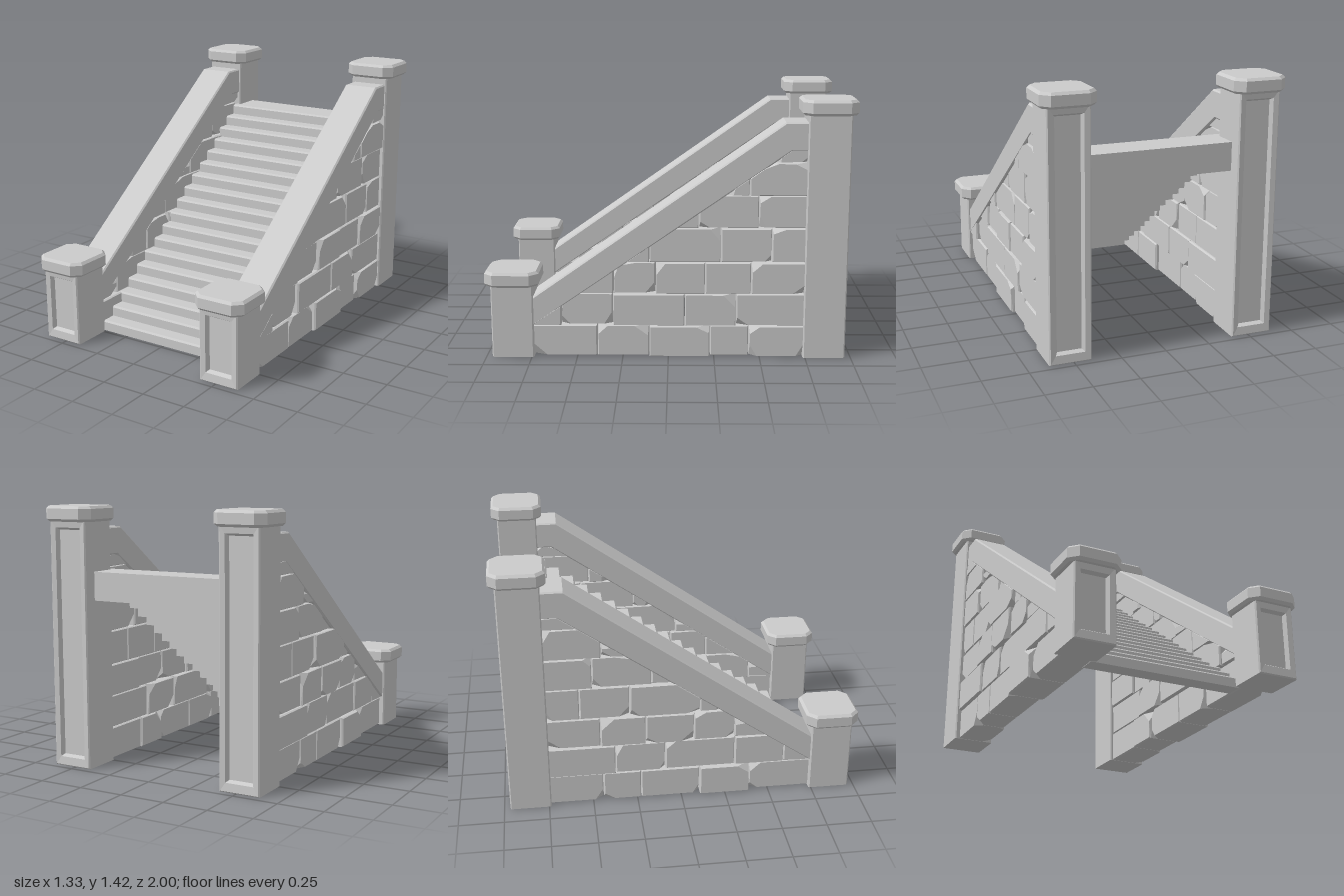
import * as THREE from 'three';
import { ConvexGeometry } from 'three/addons/geometries/ConvexGeometry.js';

const material = new THREE.MeshStandardMaterial({ color: 0xcccccc, flatShading: true });
const SIDE_X = 0.518; // centre line of posts, rails and walls

function addMesh(parent, name, geometry, x = 0, y = 0, z = 0) {
  const mesh = new THREE.Mesh(geometry, material);
  mesh.name = name;
  mesh.position.set(x, y, z);
  parent.add(mesh);
  return mesh;
}

// Extrude a [z, y] profile along x, centred on x = 0
function extrudeX(profile, width, bevel = 0) {
  const shape = new THREE.Shape(profile.map(([z, y]) => new THREE.Vector2(-z, y)));
  const geometry = new THREE.ExtrudeGeometry(shape, {
    depth: width - 2 * bevel, bevelEnabled: bevel > 0, bevelSegments: 1,
    bevelSize: bevel, bevelThickness: bevel, bevelOffset: -bevel,
  });
  return geometry.translate(0, 0, bevel - width / 2).rotateY(Math.PI / 2);
}

// Loft through rectangles [halfWidth, bottom, top, z], closed at both ends
function loftRectangles(rings) {
  const positions = [], index = [];
  for (const [w, y0, y1, z] of rings) positions.push(-w, y0, z, w, y0, z, w, y1, z, -w, y1, z);
  for (let r = 0; r < rings.length - 1; r++) {
    for (let i = 0; i < 4; i++) {
      const a = r * 4 + i, b = r * 4 + (i + 1) % 4;
      index.push(a, b, b + 4, a, b + 4, a + 4);
    }
  }
  const n = (rings.length - 1) * 4;
  index.push(0, 2, 1, 0, 3, 2, n, n + 1, n + 2, n, n + 2, n + 3);
  const geometry = new THREE.BufferGeometry();
  geometry.setAttribute('position', new THREE.Float32BufferAttribute(positions, 3));
  geometry.setIndex(index);
  const flat = geometry.toNonIndexed();
  flat.computeVertexNormals();
  return flat;
}

// Post with a sunken panel on its +z face
function postGeometry(height) {
  const h = 0.115, b = 0.007;
  return loftRectangles([
    [h - b, 0, height, -h],
    [h, 0, height, -h + b],
    [h, 0, height, h - b],
    [h - b, 0.006, height, h],
    [0.08, 0.05, height - 0.04, h - 0.004],
    [0.067, 0.062, height - 0.052, h - 0.026],
  ]);
}

// Eight-sided cap with bevelled upper and lower rims
function capGeometry() {
  const s = 0.148, c = 0.1, b = 0.014, height = 0.083;
  const corners = [[s, -c], [s, c], [c, s], [-c, s], [-s, c], [-s, -c], [-c, -s], [c, -s]];
  const shape = new THREE.Shape(corners.map(([x, y]) => new THREE.Vector2(x, y)));
  const geometry = new THREE.ExtrudeGeometry(shape, {
    depth: height - 2 * b, bevelSegments: 1, bevelSize: b, bevelThickness: b, bevelOffset: -b,
  });
  return geometry.translate(0, 0, b).rotateX(-Math.PI / 2);
}

// Cut a [z, y] polygon just inside the sloping underside of the rail
function clipUnderRail(polygon) {
  const over = ([z, y]) => y - (0.186 + (0.74 - z) * 0.693);
  const out = [];
  polygon.forEach((p, i) => {
    const q = polygon[(i + 1) % polygon.length];
    const a = over(p), b = over(q);
    if (a <= 0) out.push(p);
    if (a * b < 0) {
      const t = a / (a - b);
      out.push([p[0] + (q[0] - p[0]) * t, p[1] + (q[1] - p[1]) * t]);
    }
  });
  return out;
}

// Rough-cut stone: full outline at its core, some corners chipped off the faces
function stoneGeometry(polygon, rand) {
  const n = polygon.length;
  const points = [];
  for (const side of [-1, 1]) {
    const face = 0.082 + rand() * 0.024;
    polygon.forEach((p, i) => {
      const chipped = rand() < 0.28;
      points.push(new THREE.Vector3(side * (face - (chipped ? 0.045 : 0.01)), p[1], p[0]));
      const edges = [polygon[(i + n - 1) % n], polygon[(i + 1) % n]].map(([z, y]) => {
        const length = Math.max(Math.hypot(z - p[0], y - p[1]), 0.001);
        return { dz: (z - p[0]) / length, dy: (y - p[1]) / length, length };
      });
      // Two face corners, set back along each neighbouring edge
      edges.forEach((edge, k) => {
        const other = edges[1 - k];
        const cut = Math.min(chipped ? 0.03 + rand() * 0.05 : 0.008, edge.length * 0.4);
        const inset = Math.min(0.005, other.length * 0.2);
        points.push(new THREE.Vector3(side * face,
          p[1] + edge.dy * cut + other.dy * inset, p[0] + edge.dz * cut + other.dz * inset));
      });
    });
  }
  return new ConvexGeometry(points);
}

// Stone courses: [bottom, top, joints along z]
const COURSES = [
  [0.002, 0.176, [0.745, 0.39, 0.105, -0.228, -0.44, -0.745]],
  [0.178, 0.357, [0.74, 0.585, 0.303, -0.09, -0.37, -0.745]],
  [0.359, 0.534, [0.52, 0.3, 0.07, -0.2, -0.45, -0.745]],
  [0.536, 0.723, [0.25, 0.103, -0.285, -0.56, -0.745]],
  [0.725, 0.904, [0, -0.165, -0.487, -0.745]],
  [0.906, 1.082, [-0.25, -0.435, -0.745]],
  [1.084, 1.155, [-0.5, -0.745]],
];

function buildWall(side) {
  const wall = new THREE.Group();
  wall.name = side > 0 ? 'leftStoneWall' : 'rightStoneWall';
  wall.position.x = side * SIDE_X;
  let seed = 4321 + side;
  const rand = () => (seed = (seed * 16807) % 2147483647) / 2147483647;
  for (const [y0, y1, joints] of COURSES) {
    for (let i = 0; i < joints.length - 1; i++) {
      const z1 = joints[i] - 0.002, z0 = joints[i + 1] + 0.002;
      const polygon = clipUnderRail([[z0, y0], [z1, y0], [z1, y1], [z0, y1]]);
      if (polygon.length > 2) addMesh(wall, 'stone', stoneGeometry(polygon, rand));
    }
  }
  return wall;
}

function buildSteps() {
  const steps = new THREE.Group();
  steps.name = 'steps';
  const count = 18, rise = 1.07 / count, run = 0.0836, b = 0.009;
  for (let i = 0; i < count; i++) {
    const landing = i === count - 1;
    const top = rise * (i + 1), bottom = top - rise;
    const front = 0.73 - run * i, back = front - (landing ? 0.199 : run + 0.012);
    const profile = [[front, bottom], [front, top - b], [front - b, top], [back, top]];
    // The landing folds down into a board at the back
    if (landing) profile.push([back, top - 0.155], [back + 0.02, top - 0.155], [back + 0.02, bottom]);
    else profile.push([back, bottom]);
    addMesh(steps, landing ? 'landing' : 'step', extrudeX(profile, 0.86));
  }
  return steps;
}

export function createModel() {
  const model = new THREE.Group();
  model.name = 'stoneStaircase';
  model.add(buildSteps());

  const railProfile = [
    [0.76, 0.165], [0.76, 0.326], [-0.62, 1.3], [-0.76, 1.3], [-0.76, 1.146], [-0.655, 1.146],
  ];
  for (const side of [-1, 1]) {
    const x = side * SIDE_X;
    const label = side > 0 ? 'left' : 'right';
    addMesh(model, label + 'Rail', extrudeX(railProfile, 0.204, 0.008), x);
    model.add(buildWall(side));

    // Newel posts and their caps
    addMesh(model, label + 'FrontPost', postGeometry(0.41), x, 0, 0.852);
    addMesh(model, label + 'FrontCap', capGeometry(), x, 0.403, 0.852);
    addMesh(model, label + 'BackPost', postGeometry(1.345), x, 0, -0.852).rotation.y = Math.PI;
    addMesh(model, label + 'BackCap', capGeometry(), x, 1.337, -0.852);
  }
  return model;
}
